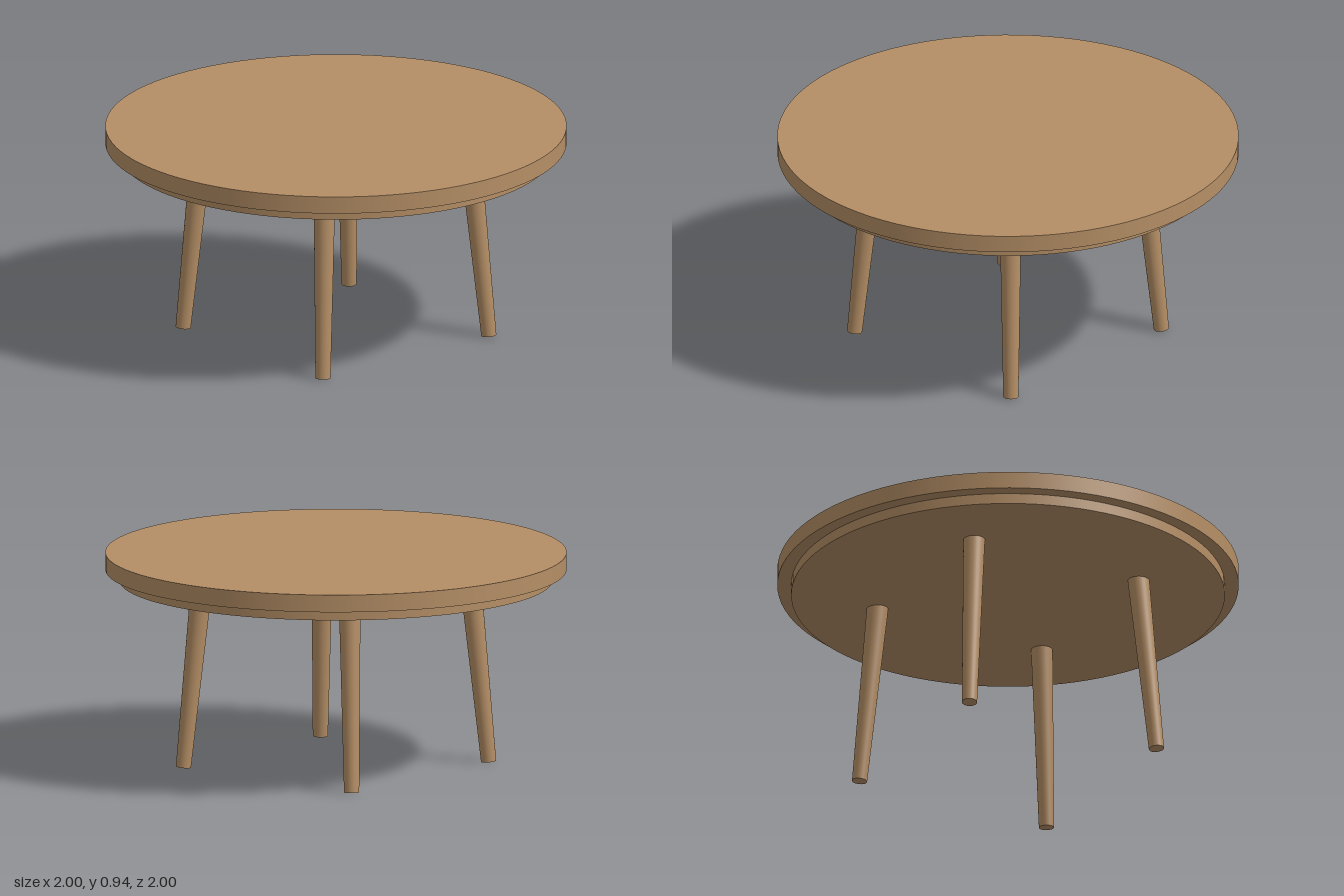
import * as THREE from 'three';

export function createModel() {
  const table = new THREE.Group();
  table.name = 'roundTable';
  const wood = new THREE.MeshStandardMaterial({ color: 0xb48e65 });

  // Flat disc between two heights
  function disc(name, radius, y0, y1) {
    const mesh = new THREE.Mesh(new THREE.CylinderGeometry(radius, radius, y1 - y0, 96), wood);
    mesh.name = name;
    mesh.position.y = (y0 + y1) / 2;
    table.add(mesh);
  }
  disc('tabletop', 1, 0.862, 0.938);
  disc('apron', 0.94, 0.815, 0.862);

  // Four tapered legs, splayed outward along the diagonals
  const up = new THREE.Vector3(0, 1, 0);
  for (const [sx, side] of [[1, 'Left'], [-1, 'Right']]) {
    for (const [sz, end] of [[1, 'front'], [-1, 'back']]) {
      const foot = new THREE.Vector3(sx * 0.47, 0.003, sz * 0.47);
      const head = new THREE.Vector3(sx * 0.413, 0.82, sz * 0.413);
      const axis = head.clone().sub(foot);
      const leg = new THREE.Mesh(new THREE.CylinderGeometry(0.047, 0.033, axis.length(), 32), wood);
      leg.name = `${end}${side}Leg`;
      leg.position.copy(foot).add(head).multiplyScalar(0.5);
      leg.quaternion.setFromUnitVectors(up, axis.normalize());
      table.add(leg);
    }
  }
  return table;
}
